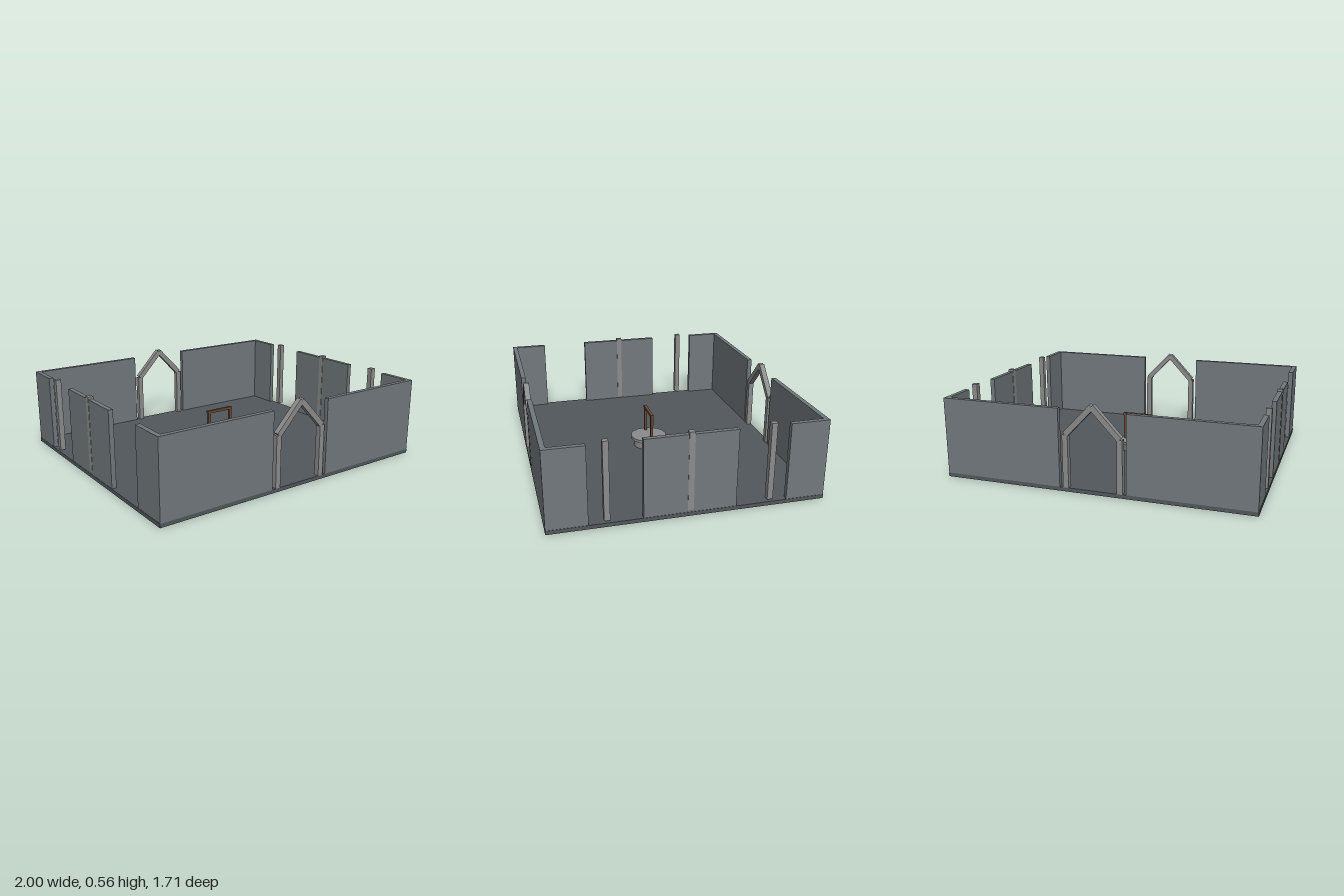
import * as THREE from 'three';

const mat = (color) => new THREE.MeshStandardMaterial({ color, flatShading: true });

export function createModel() {
  const root = new THREE.Group();
  root.name = 'walledCourtyard';
  const wallMat = mat(0x72797d), floorMat = mat(0x52585c), stoneMat = mat(0x8c8c8c), woodMat = mat(0x6b4a35);

  const add = (parent, name, geometry, material, x, y, z) => {
    const mesh = new THREE.Mesh(geometry, material);
    mesh.name = name;
    mesh.position.set(x, y, z);
    parent.add(mesh);
    return mesh;
  };
  // Box given by its minimum and maximum corners
  const block = (parent, name, material, [x0, y0, z0], [x1, y1, z1]) =>
    add(parent, name, new THREE.BoxGeometry(x1 - x0, y1 - y0, z1 - z0), material,
      (x0 + x1) / 2, (y0 + y1) / 2, (z0 + z1) / 2);

  const base = 0.025, wallTop = 0.523;
  block(root, 'floor', floorMat, [-1, 0, -0.855], [1, base, 0.855]);

  // Front and back walls, each split by a gateway
  for (const s of [-1, 1]) {
    const z0 = s > 0 ? 0.824 : -0.855, z1 = s > 0 ? 0.855 : -0.824;
    block(root, 'gateWall', wallMat, [-0.998, base, z0], [-0.215, wallTop, z1]);
    block(root, 'gateWall', wallMat, [0.215, base, z0], [0.998, wallTop, z1]);
  }

  // Side walls: two corner pieces and a middle panel each
  for (const s of [-1, 1]) {
    const x0 = s > 0 ? 0.967 : -0.998, x1 = s > 0 ? 0.998 : -0.967;
    for (const [z0, z1] of [[-0.824, -0.608], [-0.285, 0.285], [0.608, 0.824]]) {
      block(root, 'sideWall', wallMat, [x0, base, z0], [x1, wallTop, z1]);
    }
  }

  // Slim side pillars, one of them absent on the -x side
  for (const [s, z] of [[1, -0.5], [1, 0], [1, 0.5], [-1, -0.5], [-1, 0]]) {
    add(root, 'pillar', new THREE.BoxGeometry(0.036, 0.497, 0.036), stoneMat, s * 0.982, 0.289, z);
  }

  // Pointed gateways
  for (const z of [-0.838, 0.838]) {
    const arch = new THREE.Group();
    arch.name = 'gateway';
    arch.position.z = z;
    root.add(arch);
    for (const s of [-1, 1]) {
      block(arch, 'gatePost', stoneMat, [s * 0.174 - 0.018, base, -0.018], [s * 0.174 + 0.018, 0.362, 0.018]);
      const rafter = add(arch, 'gateRafter', new THREE.BoxGeometry(0.036, 0.256, 0.036), stoneMat, s * 0.086, 0.455, 0);
      rafter.rotation.z = s * Math.atan2(0.171, 0.182);
    }
  }

  // Well with a wooden frame
  const well = new THREE.Group();
  well.name = 'well';
  root.add(well);
  add(well, 'wellBase', new THREE.CylinderGeometry(0.106, 0.106, 0.053, 16), stoneMat, 0, 0.0515, 0);
  add(well, 'wellRim', new THREE.CylinderGeometry(0.125, 0.125, 0.02, 16), stoneMat, 0, 0.087, 0);
  for (const s of [-1, 1]) {
    add(well, 'wellPost', new THREE.BoxGeometry(0.018, 0.172, 0.018), woodMat, s * 0.09, 0.181, 0);
  }
  add(well, 'wellCrossbar', new THREE.BoxGeometry(0.206, 0.018, 0.02), woodMat, 0, 0.275, 0);

  return root;
}
